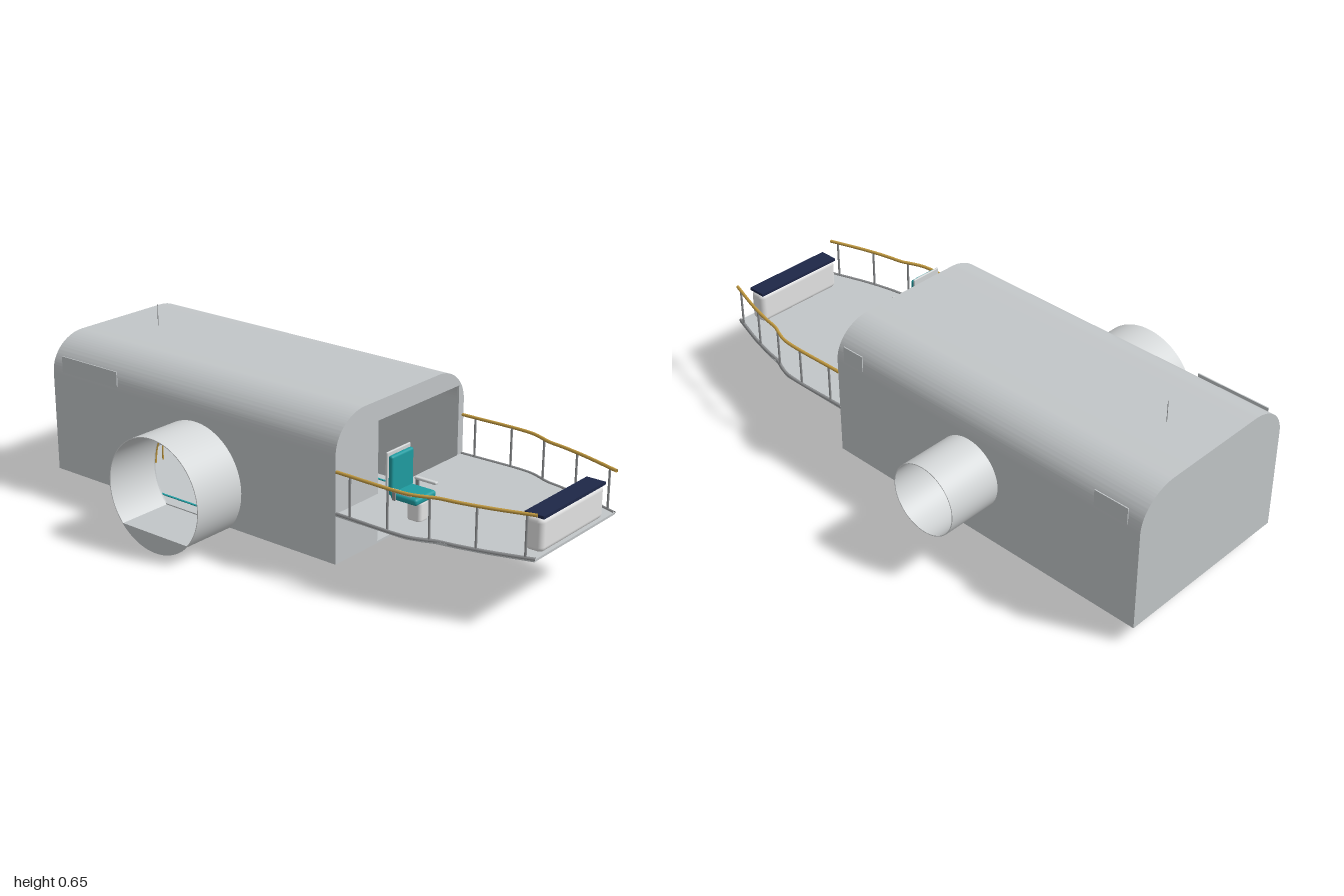
import * as THREE from 'three';
import { toCreasedNormals } from 'three/addons/utils/BufferGeometryUtils.js';
import { RoundedBoxGeometry } from 'three/addons/geometries/RoundedBoxGeometry.js';

const mat = (name, color) => {
  const m = new THREE.MeshStandardMaterial({ color, side: THREE.DoubleSide });
  m.name = name;
  return m;
};

export function createModel() {
  const hullGrey = mat('hull grey', 0xc2c6c8), tubeGrey = mat('tube grey', 0xd4d7d8);
  const trimGrey = mat('trim grey', 0x8e9092), white = mat('upholstery white', 0xe4e4e4);
  const teal = mat('teal', 0x1f9ca1), navy = mat('navy', 0x1e2748), gold = mat('gold', 0xc49c42);
  const model = new THREE.Group();

  const add = (name, geo, material, x = 0, y = 0, z = 0, parent = model) => {
    const m = new THREE.Mesh(geo, material);
    m.name = name;
    m.position.set(x, y, z);
    parent.add(m);
    return m;
  };
  const box = (w, h, d) => new THREE.BoxGeometry(w, h, d);
  const soft = (w, h, d, r) => new RoundedBoxGeometry(w, h, d, 3, r);
  const extrude = (shape, depth) => toCreasedNormals(new THREE.ExtrudeGeometry(shape,
    { depth, bevelEnabled: false, curveSegments: 40 }), 0.5);
  // shape drawn in (-z, y), extruded along +x
  const extrudeX = (shape, depth) => extrude(shape, depth).rotateY(Math.PI / 2);

  // ---- hull: arched roof, side walls, ends and floor ----
  const W = 0.35, Y0 = 0.065, SHOULDER = 0.44, ZB = -1, ZF = 0.32, T = 0.008;
  const addArch = (s, t, backwards) => {
    if (backwards) {
      s.lineTo(-W + t, SHOULDER);
      s.absellipse(-0.2, SHOULDER, 0.15 - t, 0.13 - t, Math.PI, Math.PI / 2, true);
      s.absellipse(0.2, SHOULDER, 0.15 - t, 0.13 - t, Math.PI / 2, 0, true);
    } else {
      s.lineTo(W - t, SHOULDER);
      s.absellipse(0.2, SHOULDER, 0.15 - t, 0.13 - t, 0, Math.PI / 2, false);
      s.absellipse(-0.2, SHOULDER, 0.15 - t, 0.13 - t, Math.PI / 2, Math.PI, false);
    }
  };
  const roof = new THREE.Shape();
  roof.moveTo(W, SHOULDER);
  addArch(roof, 0, false);
  addArch(roof, T, true);
  add('roof', extrude(roof, ZF - ZB), hullGrey, 0, 0, ZB);

  const back = new THREE.Shape();
  back.moveTo(-W, Y0);
  back.lineTo(W, Y0);
  addArch(back, 0, false);
  add('backWall', extrude(back, T), hullGrey, 0, 0, ZB);

  // front wall with a tall doorway open at the bottom
  const front = new THREE.Shape();
  front.moveTo(-W, Y0);
  [[-0.13, Y0], [-0.13, 0.5], [0.32, 0.5], [0.32, Y0], [W, Y0]].forEach(p => front.lineTo(...p));
  addArch(front, 0, false);
  add('frontWall', extrude(front, T), hullGrey, 0, 0, ZF - T);
  add('floor', box(2 * W, T, ZF - ZB), hullGrey, 0, Y0 + T / 2, (ZF + ZB) / 2);

  // side walls, one with a round port and one with a large arched port
  const U = 0.295, BIG = 0.207, BIGY = 0.207, SMALL = 0.13, SMALLY = 0.295;
  const a = Math.asin((Y0 - BIGY) / BIG), half = BIG * Math.cos(a);
  const leftWall = new THREE.Shape();
  leftWall.moveTo(-ZF, Y0);
  [[-ZB, Y0], [-ZB, SHOULDER], [-ZF, SHOULDER]].forEach(p => leftWall.lineTo(...p));
  leftWall.holes.push(new THREE.Path().absarc(U, SMALLY, SMALL, 0, Math.PI * 2, true));
  add('leftWall', extrudeX(leftWall, T), hullGrey, W - T);

  const rightWall = new THREE.Shape();
  rightWall.moveTo(-ZF, Y0);
  rightWall.lineTo(U - half, Y0);
  rightWall.absarc(U, BIGY, BIG, Math.PI - a, a, true);
  [[-ZB, Y0], [-ZB, SHOULDER], [-ZF, SHOULDER]].forEach(p => rightWall.lineTo(...p));
  add('rightWall', extrudeX(rightWall, T), hullGrey, -W);

  // ---- docking tubes ----
  const ring = new THREE.Shape().absarc(U, SMALLY, SMALL, 0, Math.PI * 2, false);
  ring.holes.push(new THREE.Path().absarc(U, SMALLY, SMALL - 0.003, 0, Math.PI * 2, true));
  add('smallTube', extrudeX(ring, 0.205), tubeGrey, W);

  const bigArc = new THREE.Shape();
  bigArc.absarc(U, BIGY, BIG, a, Math.PI - a, false);
  bigArc.absarc(U, BIGY, BIG - 0.003, Math.PI - a, a, true);
  add('largeTube', extrudeX(bigArc, 0.21), tubeGrey, -0.56);
  add('largeTubeFloor', box(0.21, 0.004, half * 2), hullGrey, -0.455, Y0 + 0.002, -U);
  const sill = new THREE.Shape().absarc(U, BIGY, BIG, Math.PI - a, Math.PI * 2 + a, false);
  add('largeTubeSill', extrudeX(sill, 0.002), hullGrey, -0.56);
  add('largePortTrim', new THREE.TorusGeometry(BIG + 0.006, 0.006, 6, 40, Math.PI)
    .rotateY(Math.PI / 2), gold, -W + 0.015, BIGY, -U);

  // ---- thin plates on the shoulders and the aerial ----
  [[1, 0.195, 0.285], [1, -0.95, -0.82], [-1, -0.95, -0.67]].forEach(([s, z0, z1]) =>
    add('shoulderPlate', box(0.004, 0.06, z1 - z0), hullGrey, s * (W - 0.001), 0.48, (z0 + z1) / 2));
  add('aerial', new THREE.CylinderGeometry(0.0012, 0.0012, 0.08, 6), trimGrey, 0, 0.61, -0.81);

  // ---- fore deck ----
  const side = [[0.35, 0.32], [0.35, 0.6], [0.333, 0.655], [0.318, 0.69], [0.305, 0.76], [0.28, 0.86], [0.235, 1]];
  const deck = new THREE.Shape([...side, ...side.map(([x, z]) => [-x, z]).reverse()]
    .map(([x, z]) => new THREE.Vector2(x, -z)));
  add('deck', extrude(deck, 0.008).rotateX(-Math.PI / 2), hullGrey, 0, 0.235, 0);

  // edge kerbs, handrails and posts
  const xAt = z => {
    const i = Math.max(1, side.findIndex(p => p[1] >= z)), [x0, z0] = side[i - 1], [x1, z1] = side[i];
    return x0 + (x1 - x0) * (z - z0) / (z1 - z0);
  };
  for (const s of [1, -1]) {
    const curve = new THREE.CatmullRomCurve3(side.map(([x, z]) => new THREE.Vector3(s * (x - 0.005), 0, z)), false, 'centripetal');
    add('handrail', new THREE.TubeGeometry(curve, 40, 0.006, 8), gold, 0, 0.387, 0);
    add('kerb', new THREE.TubeGeometry(curve, 40, 0.006, 6), trimGrey, 0, 0.243, 0);
    for (const z of [0.375, 0.525, 0.67, 0.82, 0.97])
      add('railPost', new THREE.CylinderGeometry(0.004, 0.004, 0.14, 8), trimGrey, s * (xAt(z) - 0.005), 0.315, z);
  }

  // ---- bow console ----
  add('consoleBody', soft(0.365, 0.12, 0.065, 0.02), white, 0, 0.296, 0.957);
  add('consoleTop', box(0.358, 0.01, 0.07), navy, 0, 0.359, 0.957);

  // ---- chairs ----
  const chair = (name, x, y, z) => {
    const g = new THREE.Group();
    g.name = name;
    g.position.set(x, y, z);
    add('pedestal', soft(0.05, 0.08, 0.055, 0.014), white, 0.008, 0.04, 0.012, g);
    add('seat', soft(0.11, 0.024, 0.105, 0.01), teal, 0, 0.09, 0, g);
    add('backrest', soft(0.114, 0.135, 0.018, 0.008), teal, 0, 0.157, -0.05, g);
    add('backShell', soft(0.122, 0.13, 0.008, 0.003), tubeGrey, 0, 0.17, -0.062, g);
    for (const s of [1, -1]) {
      add('armrest', soft(0.016, 0.01, 0.085, 0.004), tubeGrey, s * 0.066, 0.118, 0.002, g);
      add('armSupport', box(0.005, 0.035, 0.012), trimGrey, s * 0.062, 0.1, -0.03, g);
    }
    model.add(g);
  };
  chair('deckChair', -0.218, 0.235, 0.53);
  chair('cabinChair', 0.2, 0.073, -0.65);

  // ---- cabin interior ----
  add('partition', box(0.006, 0.43, 0.25), hullGrey, -0.133, 0.285, 0.188);
  add('rearSofa', soft(0.6, 0.15, 0.14, 0.03), white, 0, 0.148, -0.91);
  for (const x of [-0.06, 0.06, 0.135, 0.26])
    add('cabinPole', new THREE.CylinderGeometry(0.003, 0.003, 0.45, 8), gold, x, 0.295, -0.75);
  for (const x of [-0.3, 0.3])
    add('floorStripe', box(0.008, 0.003, 1.2), teal, x, 0.0745, -0.36);
  return model;
}
